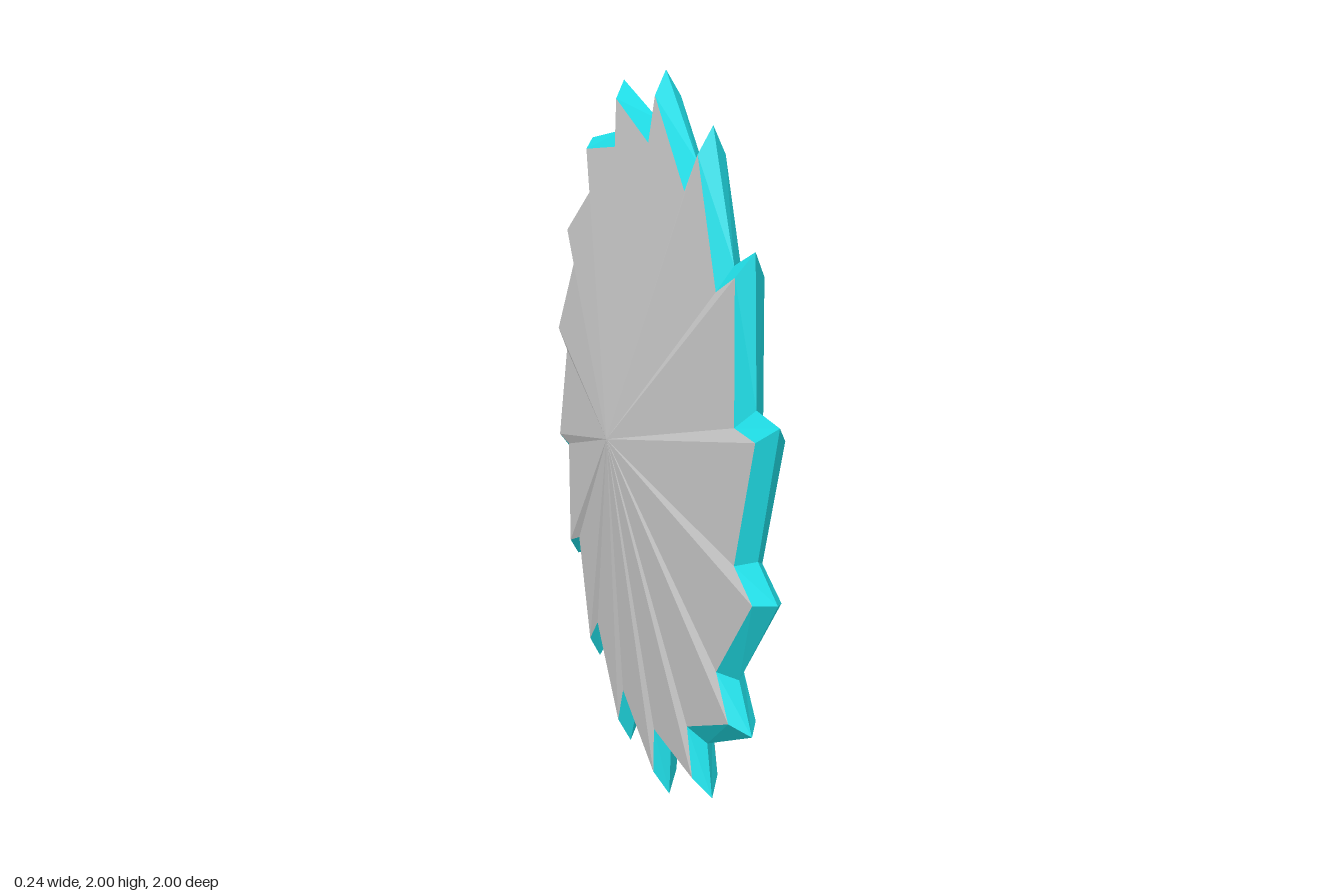
import * as THREE from 'three';

const TEETH = 16;
const HUB = 0.118;   // half thickness at the centre
const EDGE = 0.035;  // half thickness where the bevel starts

// Ring of alternating valley and tip points, anticlockwise seen from +x
function ring(valley, tip, x) {
  const points = [];
  for (let i = 0; i < TEETH; i++) {
    for (const [radius, degrees] of [valley, tip]) {
      const a = THREE.MathUtils.degToRad(degrees + (i * 360) / TEETH);
      points.push(new THREE.Vector3(x, radius * Math.sin(a), -radius * Math.cos(a)));
    }
  }
  return points;
}

function facetMesh(name, triangles, color) {
  const geometry = new THREE.BufferGeometry().setFromPoints(triangles);
  geometry.computeVertexNormals();
  const mesh = new THREE.Mesh(geometry, new THREE.MeshStandardMaterial({ color, flatShading: true }));
  mesh.name = name;
  return mesh;
}

export function createModel() {
  const group = new THREE.Group();
  group.name = 'sawBlade';

  const outer = ring([0.882, 7.0], [1.014, 9.8], 0);

  for (const side of [1, -1]) {
    const inner = ring([0.825, 9.3], [0.953, 11.5], side * EDGE);
    const hub = new THREE.Vector3(side * HUB, 0, 0);
    const face = [];
    const bevel = [];
    const add = (list, a, b, c) => list.push(...(side > 0 ? [a, b, c] : [a, c, b]));

    for (let i = 0; i < inner.length; i++) {
      const j = (i + 1) % inner.length;
      // Pleated face rising to the hub
      add(face, hub, inner[i], inner[j]);
      // Sharpened rim running out to the middle plane
      add(bevel, inner[i], outer[i], outer[j]);
      add(bevel, inner[i], outer[j], inner[j]);
    }

    const label = side > 0 ? 'left' : 'right';
    group.add(facetMesh(label + 'Face', face, 0xcccccc));
    group.add(facetMesh(label + 'CuttingEdge', bevel, 0x20dfe8));
  }

  // Stand the blade on the ground
  for (const mesh of group.children) mesh.position.y = 1;
  return group;
}
